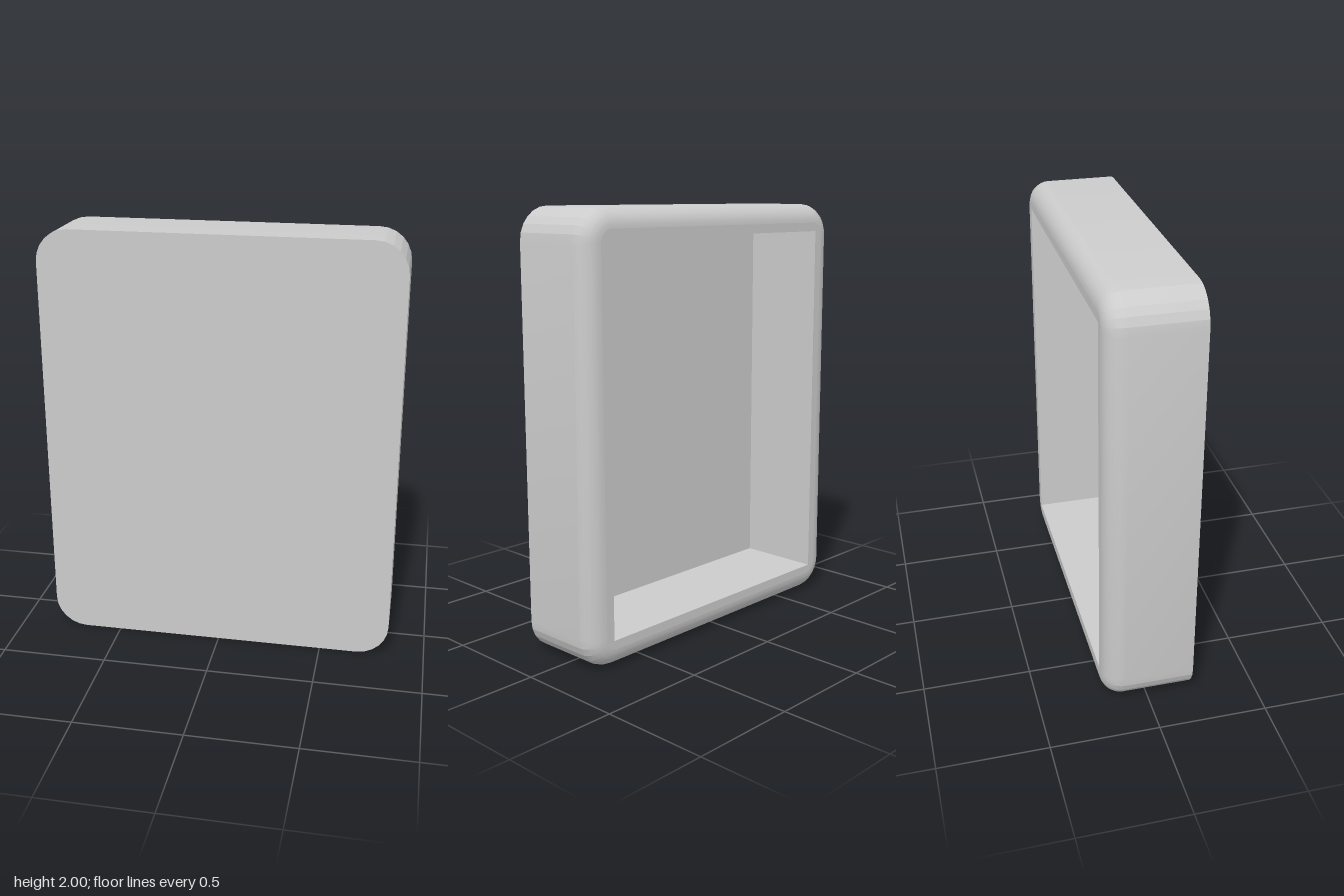
import * as THREE from 'three';
import { mergeVertices, toCreasedNormals } from 'three/addons/utils/BufferGeometryUtils.js';

const W = 0.827, H = 1, D = 0.205;   // half width, half height, half depth
const CORNER = 0.15, FILLET = 0.09;  // outline corner radius, back edge rounding
const RIM = 0.132, FLOOR_Z = 0.197;  // rim width, inner face of the thin front panel
const CORNER_STEPS = 6, FILLET_STEPS = 8;

// Counter-clockwise rounded rectangle, moved inward by inset
function outline(inset) {
  const pts = [], r = CORNER - inset;
  [[1, 1], [-1, 1], [-1, -1], [1, -1]].forEach(([sx, sy], q) => {
    for (let i = 0; i <= CORNER_STEPS; i++) {
      const a = (q + i / CORNER_STEPS) * Math.PI / 2;
      pts.push(new THREE.Vector2(
        sx * (W - CORNER) + r * Math.cos(a),
        sy * (H - CORNER) + r * Math.sin(a)));
    }
  });
  return pts;
}

// Outer walls and rounded back edge, lofted from front to back
function shellGeometry() {
  const rings = [[0, D]];
  for (let i = 0; i <= FILLET_STEPS; i++) {
    const a = i / FILLET_STEPS * Math.PI / 2;
    rings.push([FILLET * (1 - Math.cos(a)), -D + FILLET * (1 - Math.sin(a))]);
  }
  const pos = [], idx = [], n = outline(0).length;
  rings.forEach(([inset, z], k) => {
    outline(inset).forEach(p => pos.push(p.x, p.y, z));
    if (k === 0) return;
    for (let i = 0; i < n; i++) {
      const j = (i + 1) % n, f = (k - 1) * n, b = k * n;
      idx.push(f + i, b + i, b + j, f + i, b + j, f + j);
    }
  });
  const g = new THREE.BufferGeometry();
  g.setAttribute('position', new THREE.Float32BufferAttribute(pos, 3));
  g.setIndex(idx);
  return toCreasedNormals(mergeVertices(g), THREE.MathUtils.degToRad(13));
}

// Inward-facing box without its back side
function cavityGeometry() {
  const depth = FLOOR_Z + D;
  const g = new THREE.BoxGeometry(2 * (W - RIM), 2 * (H - RIM), depth);
  g.setIndex(Array.from(g.index.array).slice(0, 30).reverse());
  g.computeVertexNormals();
  return g.translate(0, 0, FLOOR_Z - depth / 2);
}

export function createModel() {
  const model = new THREE.Group();
  model.name = 'tray';
  const material = new THREE.MeshStandardMaterial({ color: 0xcccccc });
  const add = (name, geometry) => {
    const mesh = new THREE.Mesh(geometry, material);
    mesh.name = name;
    mesh.position.y = H;
    model.add(mesh);
  };

  add('outerShell', shellGeometry());
  add('frontPanel', new THREE.ShapeGeometry(new THREE.Shape(outline(0))).translate(0, 0, D));

  // Flat rim around the square-cornered opening
  const rim = new THREE.Shape(outline(FILLET));
  const w = W - RIM, h = H - RIM;
  rim.holes.push(new THREE.Path([[-w, -h], [-w, h], [w, h], [w, -h]].map(p => new THREE.Vector2(...p))));
  add('backRim', new THREE.ShapeGeometry(rim).rotateY(Math.PI).translate(0, 0, -D));

  add('cavity', cavityGeometry());
  return model;
}
